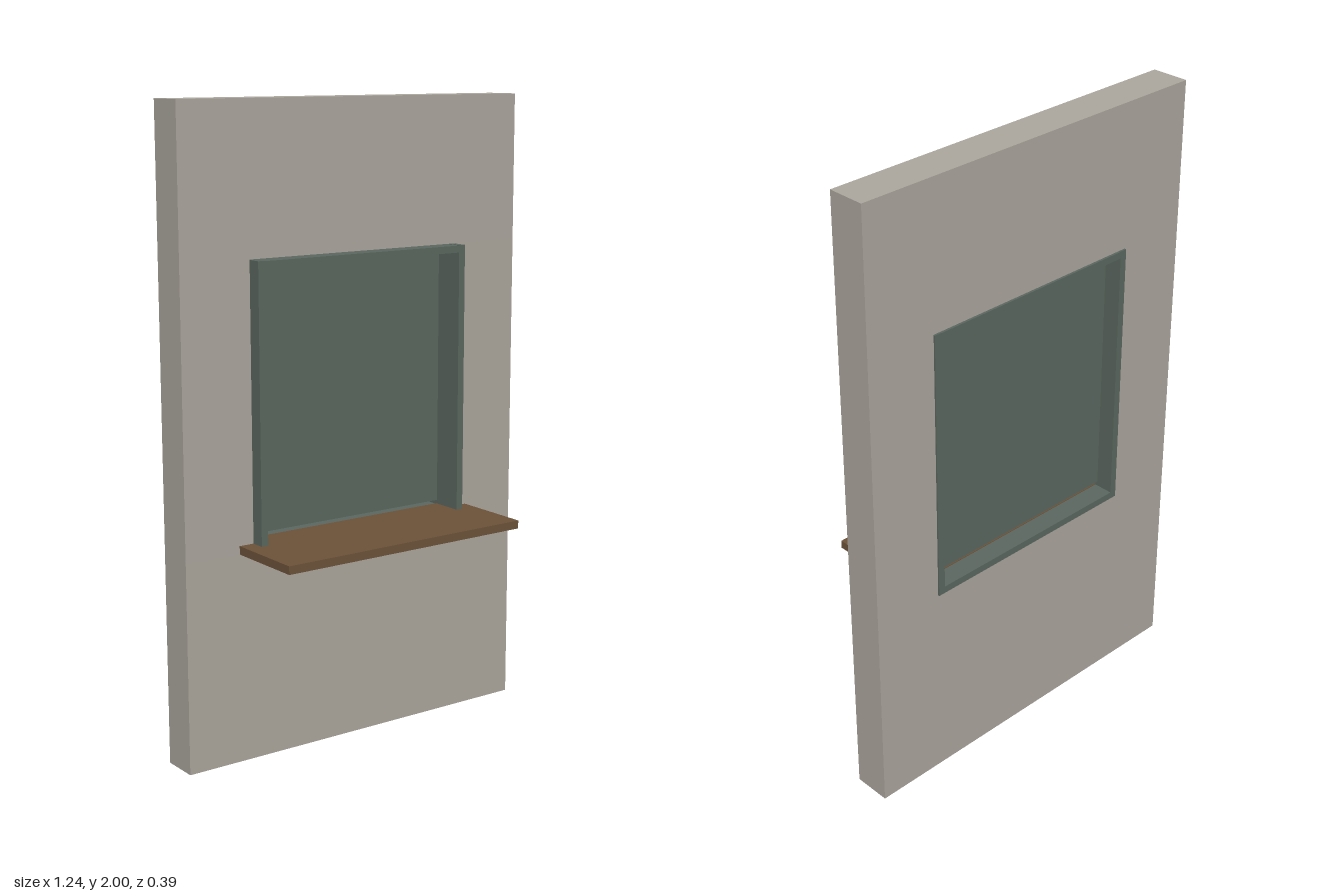
import * as THREE from 'three';

export function createModel() {
  const group = new THREE.Group();
  const material = (name, color) => {
    const m = new THREE.MeshStandardMaterial({ color });
    m.name = name;
    return m;
  };
  const concrete = material('warm grey concrete', 0xaba69d);
  const green = material('dark grey green', 0x5a675f);
  const wood = material('brown wood', 0x6c5239);

  // Box given by its extents on each axis
  const slab = (name, mat, [x0, x1], [y0, y1], [z0, z1]) => {
    const mesh = new THREE.Mesh(new THREE.BoxGeometry(x1 - x0, y1 - y0, z1 - z0), mat);
    mesh.position.set((x0 + x1) / 2, (y0 + y1) / 2, (z0 + z1) / 2);
    mesh.name = name;
    group.add(mesh);
  };
  const mirrored = (name, mat, [x0, x1], y, z) => {
    slab(name + 'Left', mat, [x0, x1], y, z);
    slab(name + 'Right', mat, [-x1, -x0], y, z);
  };

  const wallZ = [-0.191, -0.07];
  const frameZ = [-0.196, -0.024];
  const bottom = 0.657, top = 1.538;

  // Wall around the opening
  slab('wallBelow', concrete, [-0.621, 0.621], [0, bottom], wallZ);
  slab('wallAbove', concrete, [-0.621, 0.621], [top, 2], wallZ);
  mirrored('wallSide', concrete, [0.385, 0.621], [bottom, top], wallZ);

  // Frame lining the opening
  mirrored('jamb', green, [0.362, 0.385], [bottom + 0.001, top - 0.001], frameZ);
  slab('frameHead', green, [-0.362, 0.362], [1.514, top - 0.002], frameZ);
  slab('frameSill', green, [-0.362, 0.362], [bottom + 0.001, 0.681], [-0.196, -0.13]);

  // Closed shutter panel with a slit above and below
  slab('shutterPanel', green, [-0.362, 0.362], [0.695, 1.502], [-0.138, -0.126]);

  // Serving counter running out from the sill
  slab('counter', wood, [-0.434, 0.434], [bottom, 0.683], [-0.13, 0.196]);

  return group;
}
